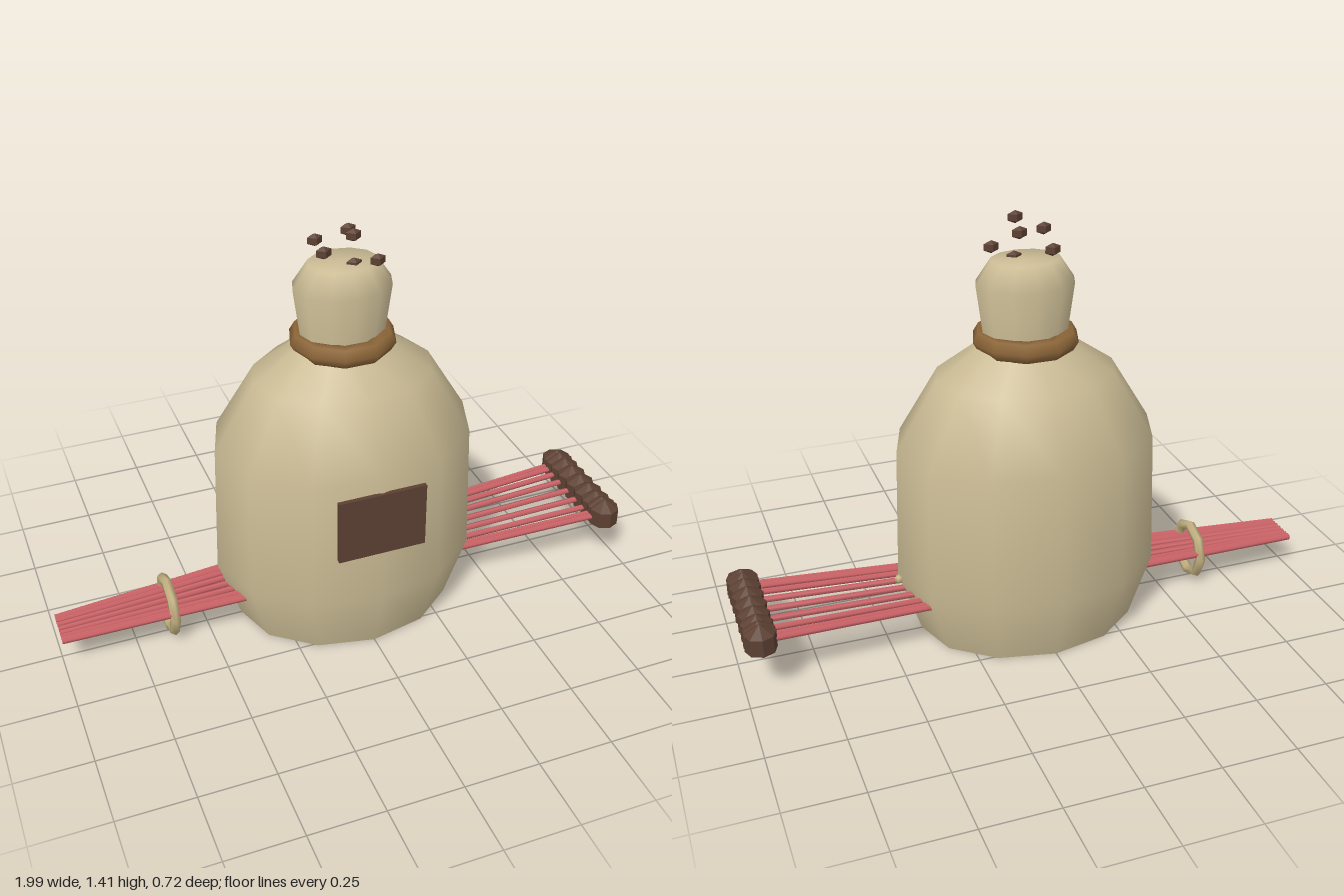
import * as THREE from 'three';

const mat = (name, color, opts = {}) => Object.assign(new THREE.MeshStandardMaterial({ color, ...opts }), { name });

export function createModel() {
  const model = new THREE.Group();
  const cloth = mat('sackcloth', 0xcabb94, { side: THREE.DoubleSide });
  const rope = mat('rope brown', 0x8b6538);
  const dark = mat('dark brown', 0x5c4033, { flatShading: true });
  const red = mat('faded red', 0xcd6468);
  const straw = mat('straw', 0xc2b080);

  const add = (name, geometry, material, x = 0, y = 0, z = 0, parent = model) => {
    const mesh = new THREE.Mesh(geometry, material);
    mesh.name = name;
    mesh.position.set(x, y, z);
    parent.add(mesh);
    return mesh;
  };
  const group = (name) => {
    const g = new THREE.Group();
    g.name = name;
    model.add(g);
    return g;
  };

  // Sack: an oval twelve-sided bag with a gathered neck
  const profile = [
    [0.375, 0], [0.45, 0.225], [0.437, 0.675], [0.3, 0.9], [0.155, 1.0],
    [0.14, 1.03], [0.163, 1.2], [0.113, 1.275], [0, 1.275],
  ].map(([r, y]) => new THREE.Vector2(r, y));
  add('sack', new THREE.LatheGeometry(profile, 12), cloth).scale.z = 0.8;
  const base = new THREE.CircleGeometry(0.375, 12).rotateX(Math.PI / 2);
  add('sackBase', base, cloth).scale.z = 0.8;

  // Rope tied round the neck
  add('neckRope', new THREE.TorusGeometry(0.14, 0.035, 6, 10).rotateX(Math.PI / 2), rope, 0, 1.015, 0);

  // Patch on the front
  add('patch', new THREE.BoxGeometry(0.295, 0.225, 0.015), dark, -0.003, 0.525, 0.353);

  // Cords run through the sack and fan out to a row of knots
  const cords = group('cords');
  const knots = group('knots');
  const knotShape = new THREE.SphereGeometry(0.06, 8, 3);
  for (let i = 0; i < 9; i++) {
    const s = Math.sin((i * 2 * Math.PI) / 9);
    const start = new THREE.Vector3(-1, 0.118, s * 0.063);
    const end = new THREE.Vector3(0.94, 0.19, s * 0.176);
    const path = new THREE.LineCurve3(start, end);
    add('cord', new THREE.TubeGeometry(path, 1, 0.011, 5), red, 0, 0, 0, cords);
    add('knot', knotShape, dark, end.x, end.y, end.z, knots);
  }

  // Hoop gathering the cords, and a small bead at the other side
  add('cordHoop', new THREE.TorusGeometry(0.09, 0.018, 6, 8).rotateY(Math.PI / 2), straw, -0.628, 0.113, 0);
  add('bead', new THREE.SphereGeometry(0.016, 6, 4), straw, 0.45, 0.215, -0.01);

  // Crumbs flying out of the top
  const crumbs = group('crumbs');
  const crumbShape = new THREE.SphereGeometry(0.021, 4, 3).scale(1.35, 1, 1.05);
  for (const [x, y, z] of [
    [-0.06, 1.32, -0.08], [0.027, 1.365, -0.022], [0.027, 1.272, 0.03],
    [-0.085, 1.343, 0.065], [0.008, 1.388, 0.07], [0.085, 1.297, 0.078],
  ]) add('crumb', crumbShape, dark, x, y, z, crumbs);

  return model;
}
